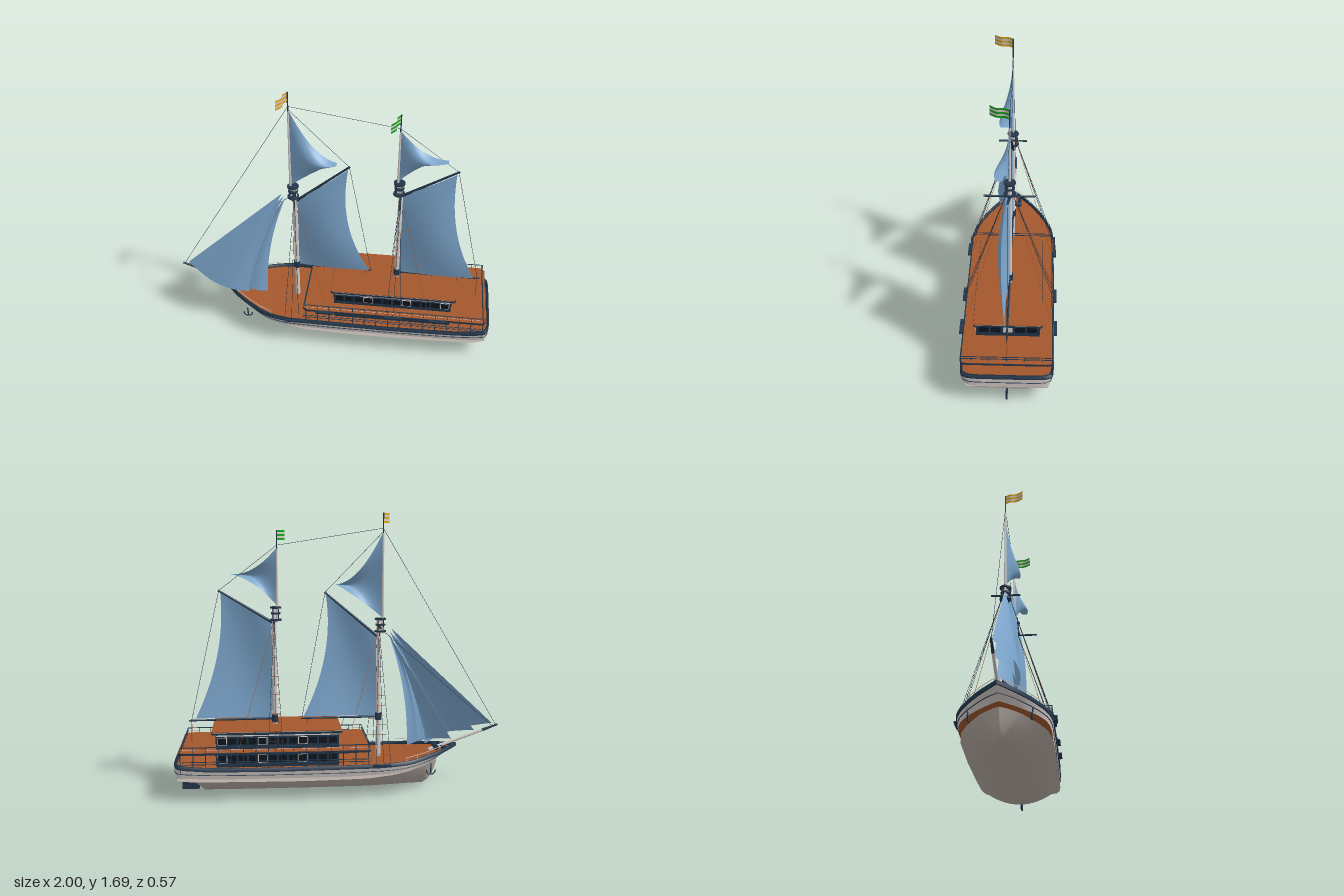
import * as THREE from 'three';

const V = (x, y, z = 0) => new THREE.Vector3(x, y, z);
const mat = (name, color) => Object.assign(new THREE.MeshStandardMaterial({ color, side: THREE.DoubleSide }), { name });

// piecewise linear lookup in [[x, value], ...]
function interp(t, x) {
  if (x <= t[0][0]) return t[0][1];
  for (let i = 1; i < t.length; i++) {
    const [a, va] = t[i - 1], [b, vb] = t[i];
    if (x <= b) return va + (vb - va) * (x - a) / (b - a);
  }
  return t[t.length - 1][1];
}

// surface from a function of u, v
function grid(nu, nv, fn) {
  const pos = [], idx = [];
  for (let i = 0; i <= nu; i++) for (let j = 0; j <= nv; j++) pos.push(...fn(i / nu, j / nv).toArray());
  for (let i = 0; i < nu; i++) for (let j = 0; j < nv; j++) {
    const a = i * (nv + 1) + j, b = a + nv + 1;
    idx.push(a, b, a + 1, b, b + 1, a + 1);
  }
  const g = new THREE.BufferGeometry();
  g.setAttribute('position', new THREE.Float32BufferAttribute(pos, 3));
  g.setIndex(idx);
  g.computeVertexNormals();
  return g;
}

export function createModel() {
  const root = new THREE.Group();
  const white = mat('offWhite', 0xd3cbc7), keel = mat('lowerHullGrey', 0xb5aaa4), brown = mat('deckBrown', 0xa3572c);
  const navy = mat('navy', 0x22364b), dark = mat('windowDark', 0x0d151e), sailBlue = mat('sailBlue', 0x7ba5cb);
  const green = mat('flagGreen', 0x17a51c), yellow = mat('flagYellow', 0xe0a51c);
  let parent = root;
  const add = (name, geo, m) => {
    const o = new THREE.Mesh(geo, m);
    o.name = name;
    parent.add(o);
    return o;
  };
  const group = (name) => { parent = new THREE.Group(); parent.name = name; root.add(parent); };
  const box = (name, m, x0, x1, y0, y1, z0, z1) =>
    add(name, new THREE.BoxGeometry(x1 - x0, y1 - y0, z1 - z0), m).position.set((x0 + x1) / 2, (y0 + y1) / 2, (z0 + z1) / 2);
  const rod = (name, m, a, b, r0, r1 = r0, n = 10) => {
    const o = add(name, new THREE.CylinderGeometry(r1, r0, a.distanceTo(b), n), m);
    o.position.copy(a).lerp(b, 0.5);
    o.quaternion.setFromUnitVectors(V(0, 1, 0), b.clone().sub(a).normalize());
  };
  const rope = (a, b, m = navy) => rod('rope', m, a, b, 0.0012, 0.0012, 4);

  // --- hull ---
  group('hull');
  const half = new THREE.SplineCurve([[-0.73, 0], [-0.62, 0.11], [-0.5, 0.195], [-0.4, 0.245], [-0.28, 0.268], [-0.1, 0.27], [0.3, 0.27],
    [0.7, 0.268], [0.94, 0.262], [0.985, 0.24], [0.998, 0.19], [1.0, 0.1], [1.0, 0]].map(p => new THREE.Vector2(...p)));
  const high = x => interp([[-0.73, 0.25], [-0.6, 0.228], [-0.4, 0.202], [-0.2, 0.192], [0.4, 0.185], [0.8, 0.19], [0.93, 0.2], [1, 0.21]], x);
  const low = x => interp([[-0.63, 0.185], [-0.55, 0.168], [-0.3, 0.145], [0, 0.133], [0.7, 0.133], [1, 0.142]], x);
  const skin = (u, v, s) => {
    const p = half.getPoint(u), f = Math.max(0, (-0.25 - p.x) / 0.48) ** 2 * (1 - v);
    const x = p.x + 0.1 * f, k = 1 - 0.04 * (1 - v);
    return V(x, THREE.MathUtils.lerp(low(x), high(p.x), v), s * p.y * k);
  };
  // strip of rectangular section following the hull edge
  const edge = (name, m, v, y0, y1, out, wide) => [-1, 1].forEach(s => add(name, grid(70, 4, (u, w) => {
    const k = Math.round(w * 4) % 4, p = skin(u, v, s), d = k === 0 || k === 3 ? out : out - wide;
    return V(0.13 + (p.x - 0.13) * (1 + d / 0.87), p.y + (k < 2 ? y0 : y1), p.z * (1 + d / 0.27));
  }), m));
  for (const s of [-1, 1]) add('upperHull', grid(70, 5, (u, v) => skin(u, v, s)), white);
  edge('bulwarkRail', navy, 1, -0.008, 0.014, 0.004, 0.014);
  edge('rubbingStrake', navy, 0.45, -0.002, 0.002, 0.003, 0.004);
  add('mainDeck', grid(70, 8, (u, v) => {
    const p = half.getPoint(u);
    return V(p.x, high(p.x) - 0.004, p.y * (2 * v - 1) * 0.99);
  }), brown);
  add('deckUnderside', grid(70, 8, (u, v) => {
    const p = skin(u, 0, 1);
    return V(p.x, p.y, p.z * (2 * v - 1));
  }), brown);
  // lower hull: x, half width, keel height, fullness
  const st = [[-0.61, 0.004, 0.15, 1], [-0.595, 0.03, 0.1, 1], [-0.575, 0.055, 0.06, 1.1], [-0.55, 0.085, 0.03, 1.2], [-0.52, 0.115, 0.011, 1.3],
    [-0.4, 0.195, 0.01, 1.6], [-0.3, 0.24, 0.01, 1.8], [-0.15, 0.263, 0.01, 2], [0.2, 0.27, 0.01, 2], [0.6, 0.268, 0.01, 2],
    [0.83, 0.264, 0.011, 2], [0.855, 0.262, 0.04, 2], [0.88, 0.26, 0.072, 2], [0.92, 0.256, 0.096, 2], [0.985, 0.235, 0.11, 2]];
  const topY = x => interp([[-0.61, 0.162], [-0.4, 0.138], [-0.15, 0.12], [0.3, 0.114], [0.98, 0.122]], x);
  const station = u => st[Math.round(u * (st.length - 1))];
  add('lowerHull', grid(st.length - 1, 24, (u, v) => {
    const [x, w, k, p] = station(u), s = 2 * v - 1;
    return V(x, k + (topY(x) - k) * Math.abs(s) ** p, w * s);
  }), keel);
  add('lowerHullTop', grid(st.length - 1, 1, (u, v) => {
    const [x, w] = station(u);
    return V(x, topY(x), w * (2 * v - 1));
  }), keel);
  add('transom', grid(16, 1, (u, v) => {
    const s = 2 * u - 1;
    return V(0.985, v ? 0.122 : 0.11 + 0.012 * s * s, 0.235 * s);
  }), keel);
  const rs = new THREE.Shape([[0.87, 0.005], [0.9, 0], [0.975, 0.005], [0.975, 0.075], [0.9, 0.068], [0.87, 0.045]].map(p => new THREE.Vector2(...p)));
  add('rudder', new THREE.ExtrudeGeometry(rs, { depth: 0.01, bevelEnabled: false }), navy).position.z = -0.005;

  // --- upper deck, cabins and roof ---
  group('superstructure');
  const plate = (name, m, x0, x1, w, r, y, h) => {
    const s = new THREE.Shape();
    s.moveTo(x0 + r, -w).lineTo(x1 - r, -w).quadraticCurveTo(x1, -w, x1, -w + r).lineTo(x1, w - r).quadraticCurveTo(x1, w, x1 - r, w);
    s.lineTo(x0 + r, w).quadraticCurveTo(x0, w, x0, w - r).lineTo(x0, -w + r).quadraticCurveTo(x0, -w, x0 + r, -w);
    const o = add(name, new THREE.ExtrudeGeometry(s, { depth: h, bevelEnabled: false }), m);
    o.rotation.x = -Math.PI / 2;
    o.position.y = y;
  };
  plate('upperDeckEdge', navy, -0.17, 0.975, 0.266, 0.04, 0.282, 0.012);
  plate('upperDeck', brown, -0.168, 0.973, 0.264, 0.04, 0.294, 0.003);
  plate('roofEdge', navy, 0, 0.782, 0.2, 0.015, 0.388, 0.01);
  plate('roofTrim', white, 0.003, 0.779, 0.197, 0.015, 0.398, 0.003);
  plate('roof', brown, 0.002, 0.78, 0.198, 0.015, 0.401, 0.004);
  for (const [y0, y1] of [[0.185, 0.283], [0.296, 0.389]]) {
    box('cabin', navy, 0.02, 0.755, y0, y1, -0.185, 0.185);
    const a = y0 + 0.03, b = y1 - 0.025;
    for (const s of [-1, 1]) {
      box('cabinTrim', white, 0.022, 0.753, y1 - 0.014, y1 - 0.008, s * 0.187 - 0.003, s * 0.187 + 0.003);
      for (let i = 0; i < 12; i++) {
        const x = 0.033 + i * 0.06;
        box('windowFrame', i % 4 === 3 ? white : navy, x - 0.004, x + 0.052, a - 0.004, b + 0.004, s * 0.186 - 0.003, s * 0.186 + 0.003);
        box('window', dark, x, x + 0.048, a, b, s * 0.188 - 0.003, s * 0.188 + 0.003);
      }
    }
    for (const x of [0.02, 0.755]) for (let i = -2; i <= 2; i++)
      box('endWindow', i ? dark : white, x - 0.003, x + 0.003, a, b, i * 0.07 - 0.028, i * 0.07 + 0.028);
  }

  // --- railings and deck supports ---
  group('railings');
  for (const s of [-1, 1]) {
    for (let x = -0.15; x < 0.97; x += 0.074) {
      rod('railPost', navy, V(x, 0.295, s * 0.258), V(x, 0.328, s * 0.258), 0.002, 0.002, 5);
      rod('deckSupport', navy, V(x, 0.18, s * 0.255), V(x, 0.285, s * 0.255), 0.003, 0.003, 6);
    }
    for (const [y, r] of [[0.328, 0.003], [0.312, 0.0012]]) rod('sideRail', r > 0.002 ? navy : white, V(-0.16, y, s * 0.258), V(0.955, y, s * 0.258), r, r, 6);
    for (const y of [0.225, 0.24]) rod('lowerSideRail', navy, V(-0.17, y, s * 0.258), V(0.95, y, s * 0.258), 0.0025, 0.0025, 6);
    // bow rail
    const pts = [0.02, 0.08, 0.14, 0.2, 0.26].map(u => skin(u, 1, s).multiply(V(0.99, 1, 0.97)).add(V(0, 0.035, 0)));
    add('bowRail', new THREE.TubeGeometry(new THREE.CatmullRomCurve3(pts), 24, 0.002, 5), white);
    pts.forEach(p => rod('bowPost', white, p.clone().setY(p.y - 0.035), p, 0.002, 0.002, 5));
    // outboard fittings
    for (const [x, y] of [[-0.23, 0.2], [-0.03, 0.29], [0.4, 0.29], [0.68, 0.29]])
      box('channel', navy, x - 0.055, x + 0.055, y - 0.006, y + 0.006, s * 0.272 - 0.013, s * 0.272 + 0.013);
  }
  for (const x of [-0.16, 0.955]) for (const y of [0.328, 0.312]) rod('endRail', navy, V(x, y, -0.258), V(x, y, 0.258), 0.0025, 0.0025, 6);
  for (let z = -0.2; z < 0.21; z += 0.1) rod('sternPost', navy, V(0.955, 0.295, z), V(0.955, 0.328, z), 0.002, 0.002, 5);

  // --- bow gear ---
  group('bowGear');
  rod('bowsprit', white, V(-0.56, 0.222), V(-0.9, 0.341), 0.011, 0.008);
  rod('bowspritTip', navy, V(-0.9, 0.341), V(-0.998, 0.376), 0.009, 0.006);
  rod('windlass', navy, V(-0.6, 0.245, -0.05), V(-0.6, 0.245, 0.05), 0.016);
  for (const s of [-1, 1]) {
    box('bollard', navy, -0.66, -0.63, 0.235, 0.255, s * 0.035 - 0.012, s * 0.035 + 0.012);
    rod('anchorShank', navy, V(-0.545, 0.11, s * 0.165), V(-0.545, 0.18, s * 0.175), 0.004);
    const o = add('anchorArms', new THREE.TorusGeometry(0.027, 0.004, 6, 14, Math.PI), navy);
    o.position.set(-0.545, 0.137, s * 0.168);
    o.rotation.z = Math.PI;
  }

  // --- masts, spars, flags ---
  group('masts');
  const mast = (x, y0, nest, tx, top, armY, arm, gaff, boom, flagY, m) => {
    rod('lowerMast', white, V(x, y0), V(x, nest), 0.015, 0.013, 14);
    rod('topMast', white, V(tx, nest - 0.09), V(tx, top - 0.05), 0.008, 0.005);
    rod('topMastTip', navy, V(tx, top - 0.05), V(tx, flagY + 0.055), 0.004);
    rod('mastCollar', navy, V(x, 0.42), V(x, 0.465), 0.02);
    for (const [y, r] of [[nest, 0.035], [nest - 0.035, 0.03], [nest - 0.075, 0.036]]) rod('crosstree', navy, V(x - 0.01, y - 0.005), V(x - 0.01, y + 0.005), r, r, 14);
    for (const [i, j] of [[1, 1], [1, -1], [-1, 1], [-1, -1]])
      rod('crosstreePost', navy, V(x - 0.01 + i * 0.016, nest - 0.08, j * 0.016), V(x - 0.01 + i * 0.016, nest, j * 0.016), 0.003, 0.003, 5);
    rod('yard', navy, V(x, armY, -arm), V(x, armY, arm), 0.006);
    rod('gaff', navy, gaff[0], gaff[1], 0.009, 0.006);
    rod('boom', navy, boom[0], boom[1], 0.007, 0.005);
    for (let i = 0; i < 5; i++) add('flagStripe', grid(12, 1, (u, v) =>
      V(tx - 0.045 * u - 0.008 * Math.sin(u * 7), flagY - 0.006 + (i + v) * 0.012, 0.11 * u)), i % 2 ? white : m);
  };
  mast(-0.24, 0.18, 1.05, -0.265, 1.62, 1.005, 0.087, [V(-0.23, 0.945), V(0.092, 1.216)], [V(-0.24, 0.44), V(0.24, 0.437)], 1.638, yellow);
  mast(0.4, 0.29, 1.125, 0.38, 1.53, 1.04, 0.147, [V(0.41, 1.035), V(0.735, 1.232)], [V(0.4, 0.44), V(0.925, 0.434)], 1.535, green);

  // --- sails: corners a, b along the foot and d, c along the head; foot, head and leech hollows ---
  group('sails');
  const sail = (name, a, b, c, d, foot, head, leech, fullness) => add(name, grid(20, 20, (u, v) => {
    const p = a.clone().lerp(b, u).lerp(d.clone().lerp(c, u), v), bow = 4 * u * (1 - u);
    p.y += bow * (foot * (1 - v) - head * v);
    p.x -= leech * u * 4 * v * (1 - v);
    p.z += fullness(v) * Math.sin(0.78 * Math.PI * u);
    return p;
  }), sailBlue);
  const gaffFull = v => 0.058 * Math.sin(Math.PI * (0.1 + 0.8 * v));
  const topFull = v => 0.055 * Math.sin(Math.PI * v);
  sail('foreSail', V(-0.225, 0.445), V(0.225, 0.443), V(0.085, 1.205), V(-0.225, 0.95), 0, 0, 0.065, gaffFull);
  sail('mainSail', V(0.415, 0.445), V(0.885, 0.443), V(0.722, 1.22), V(0.415, 1.04), 0, 0, 0.055, gaffFull);
  sail('foreTopsail', V(-0.26, 1.06), V(0.02, 1.26, 0.03), V(0.02, 1.26, 0.03), V(-0.26, 1.57), 0.01, 0.07, 0, topFull);
  sail('mainTopsail', V(0.385, 1.14), V(0.665, 1.326, 0.03), V(0.665, 1.326, 0.03), V(0.385, 1.48), 0.035, 0.045, 0, topFull);
  for (const [tx, ty, cx, cy, hx, hy, f] of [[-0.96, 0.385, -0.55, 0.24, -0.32, 0.99, 0.12], [-0.85, 0.34, -0.5, 0.265, -0.31, 0.97, 0.09],
    [-0.7, 0.29, -0.43, 0.235, -0.3, 0.96, 0.08]])
    sail('jib', V(tx, ty), V(cx, cy), V(hx, hy), V(hx, hy), 0.008, 0, 0.035, v => f * (1 - v) ** 0.8);

  // --- rigging ---
  group('rigging');
  rope(V(-0.265, 1.6), V(-0.985, 0.375));
  rope(V(-0.265, 1.6), V(0.38, 1.5));
  rope(V(-0.265, 1.58), V(0.09, 1.215));
  rope(V(0.38, 1.5), V(0.73, 1.23));
  rope(V(0.73, 1.23), V(0.91, 0.435));
  rope(V(0.09, 1.215), V(0.235, 0.44));
  rope(V(-0.24, 1.0), V(-0.96, 0.37));
  rod('mainsheet', brown, V(0.91, 0.434), V(0.91, 0.295), 0.003, 0.003, 5);
  rod('foresheet', brown, V(0.2, 0.437), V(0.2, 0.405), 0.003, 0.003, 5);
  for (const [x, y, top] of [[-0.24, 0.2, 1.0], [0.4, 0.295, 1.05]]) for (const s of [-1, 1]) {
    const feet = [-0.045, 0, 0.045].map(d => V(x + d, y, s * 0.272)), peak = V(x, top, s * 0.02);
    feet.forEach(f => rope(f, peak));
    for (let t = 0.08; t < 0.9; t += 0.07) rope(feet[0].clone().lerp(peak, t), feet[2].clone().lerp(peak, t), brown);
    rope(peak, V(x + 0.22, 0.3, s * 0.25), brown);
  }
  return root;
}
